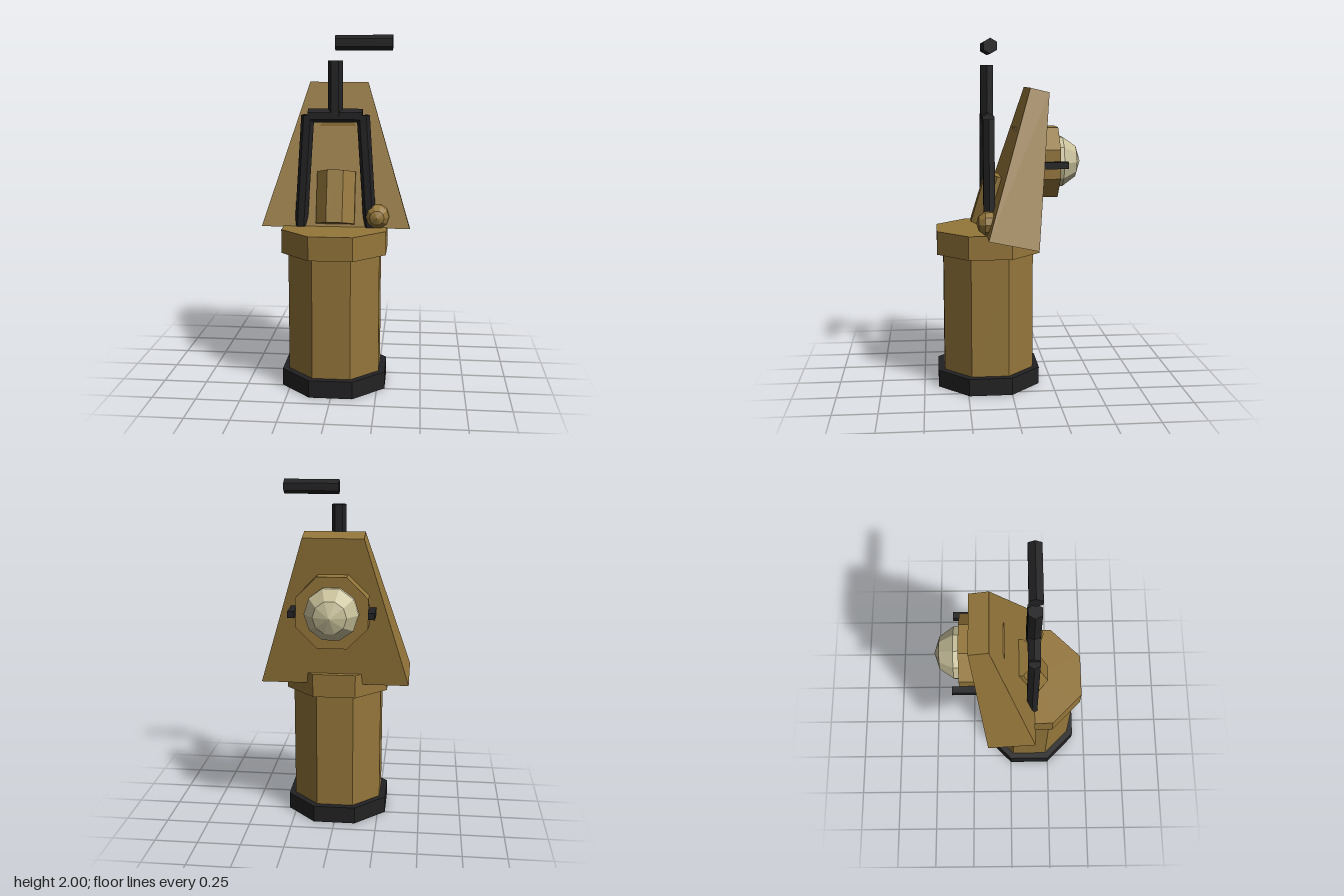
import * as THREE from 'three';

const paint = (color) => new THREE.MeshStandardMaterial({ color, flatShading: true, roughness: 0.8 });

export function createModel() {
  const model = new THREE.Group();
  const brass = paint(0x94763a);
  const black = paint(0x222224);
  const ivory = paint(0xc8c09a);
  const axisZ = 0.123; // shared centre of pedestal and fork

  const add = (name, geometry, material, x = 0, y = 0, z = 0) => {
    const mesh = new THREE.Mesh(geometry, material);
    mesh.name = name;
    mesh.position.set(x, y, z);
    model.add(mesh);
    return mesh;
  };

  // Octagonal prism with flat sides facing the axes; size is the distance to a flat
  const octagon = (flat, height) => {
    const r = flat / Math.cos(Math.PI / 8);
    return new THREE.CylinderGeometry(r, r, height, 8).rotateY(Math.PI / 8);
  };

  // Hexagonal rod between two points in the plane of the fork
  const rod = (name, r, x0, y0, x1, y1) => {
    const a = new THREE.Vector3(x0, y0, axisZ);
    const b = new THREE.Vector3(x1, y1, axisZ);
    const dir = b.clone().sub(a);
    const geometry = new THREE.CylinderGeometry(r, r, dir.length(), 6).rotateY(Math.PI / 6);
    const mesh = add(name, geometry, black);
    mesh.position.copy(a).add(b).multiplyScalar(0.5);
    mesh.quaternion.setFromUnitVectors(new THREE.Vector3(0, 1, 0), dir.normalize());
  };

  // Faceted ball with its pole along z
  const ball = (r) => new THREE.SphereGeometry(r, 10, 5).rotateX(-Math.PI / 2);

  // Pedestal
  add('base', octagon(0.295, 0.1), black, 0, 0.05, axisZ);
  add('column', octagon(0.258, 0.7), brass, 0, 0.445, axisZ);
  add('collar', octagon(0.295, 0.135), brass, 0, 0.8575, axisZ);

  // Leaning shield: a box whose corners are moved to a tapered slab
  const slab = new THREE.BoxGeometry(2, 1, 1);
  const p = slab.attributes.position;
  for (let i = 0; i < p.count; i++) {
    const top = p.getY(i) > 0;
    const front = p.getZ(i) > 0;
    p.setXYZ(
      i,
      p.getX(i) * (top ? 0.17 : 0.425),
      top ? (front ? 1.735 : 1.71) : (front ? 0.92 : 0.862),
      top ? (front ? -0.11 : -0.217) : (front ? 0.141 : -0.134)
    );
  }
  slab.computeVertexNormals();
  add('shield', slab, brass);

  // Tilted housing against the front of the shield
  const housing = add('frontHousing', octagon(0.11, 0.3), brass, 0, 1.077, 0.071);
  housing.rotation.x = -0.298;

  // Lamp drum and dome at the back
  add('lampDrum', octagon(0.2, 0.247).rotateX(Math.PI / 2), brass, 0, 1.31, -0.1565);
  add('lampDome', ball(0.158), ivory, 0, 1.31, -0.262);
  for (const side of [-1, 1]) {
    add('lampBracket', new THREE.BoxGeometry(0.038, 0.038, 0.2), black, side * 0.22, 1.307, -0.22);
  }

  // Fork with stem and separate top bar
  for (const side of [-1, 1]) {
    rod('forkLeg', 0.037, side * 0.2, 0.9, side * 0.156, 1.56);
  }
  rod('forkCrossbar', 0.039, -0.153, 1.557, 0.153, 1.557);
  rod('forkStem', 0.042, 0, 1.555, 0, 1.86);
  rod('topBar', 0.042, 0, 1.958, 0.318, 1.958);

  // Control knob on the collar
  add('knob', ball(0.071), brass, 0.24, 0.988, 0.128);

  return model;
}
